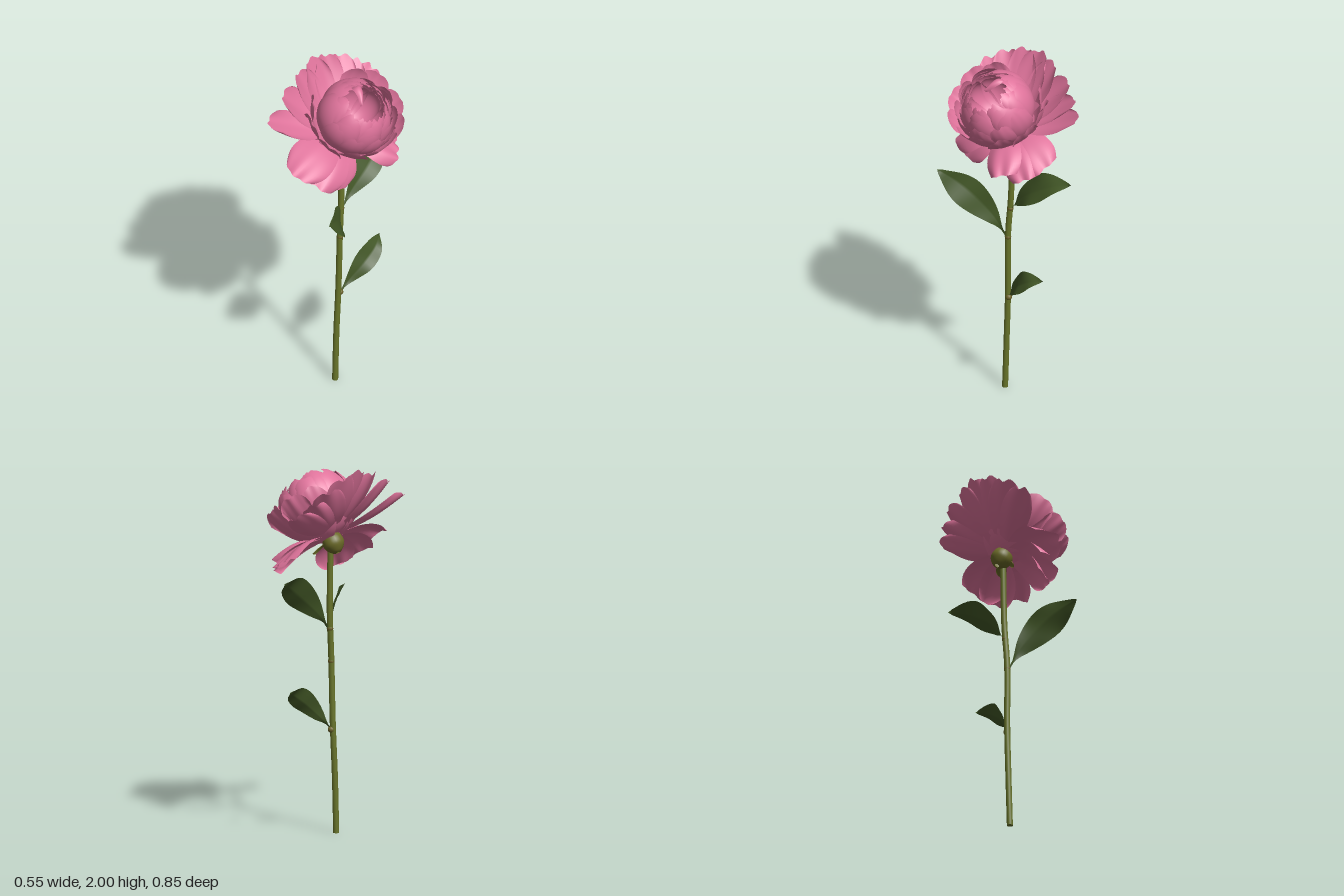
import * as THREE from 'three';
import { ParametricGeometry } from 'three/addons/geometries/ParametricGeometry.js';

const V = (x, y, z) => new THREE.Vector3(x, y, z);
const rad = THREE.MathUtils.degToRad;

function material(name, color, side = THREE.FrontSide) {
  const m = new THREE.MeshStandardMaterial({ color, side });
  m.name = name;
  return m;
}

function seeded(seed) {
  return () => {
    seed = (seed * 16807) % 2147483647;
    return seed / 2147483647;
  };
}

export function createModel() {
  const rand = seeded(4711);
  const jitter = (a) => (rand() * 2 - 1) * a;
  const pink = material('petal pink', 0xe0749c, THREE.DoubleSide);
  const green = material('leaf green', 0x425726, THREE.DoubleSide);
  const olive = material('stem olive', 0x68742a);
  const brown = material('node brown', 0x6b6128);
  const sepalOlive = material('sepal olive', 0x6b6a28, THREE.DoubleSide);

  const model = new THREE.Group();
  model.name = 'flower';
  const add = (parent, name, geometry, mat) => {
    const mesh = new THREE.Mesh(geometry, mat);
    mesh.name = name;
    parent.add(mesh);
    return mesh;
  };
  // Smooth sheet: u runs across from -1 to 1, v runs from root to tip
  const sheet = (fn, nu = 16, nv = 16) =>
    new ParametricGeometry((a, v, p) => fn(a * 2 - 1, v, p), nu, nv);

  // Stem, closed at the foot
  const stemPath = new THREE.CatmullRomCurve3([
    V(-0.055, 0.005, 0.045), V(-0.056, 0.3, 0.034), V(-0.053, 0.6, 0.02),
    V(-0.048, 0.95, 0.014), V(-0.053, 1.2, -0.004), V(-0.06, 1.55, -0.006)]);
  add(model, 'stem', new THREE.TubeGeometry(stemPath, 40, 0.0165, 12), olive);
  add(model, 'stemFoot', new THREE.CylinderGeometry(0.0165, 0.0165, 0.01, 12), olive)
    .position.set(-0.055, 0.005, 0.045);

  // Leaves: midrib curve plus a half-width vector, folded and waved a little
  function leaf(name, points, half) {
    const curve = new THREE.CatmullRomCurve3(points.map((p) => V(...p)));
    const side = V(...half);
    const across = points[4].map((c, i) => c - points[0][i]);
    const up = V(...across).cross(side).normalize().negate();
    const geometry = sheet((u, v, p) => {
      const t = Math.max(0, (v - 0.08) / 0.92);
      const w = 0.07 + 0.93 * Math.pow(Math.sin(Math.PI * Math.pow(t, 1.12)), 1.15);
      curve.getPoint(v, p);
      p.addScaledVector(side, u * w * (v > 0.99 ? 0 : 1));
      p.addScaledVector(up, 0.012 * Math.abs(u) * w + 0.004 * u * Math.sin(v * 17));
    }, 10, 24);
    add(model, name, geometry, green);
    const node = add(model, name + 'Node', new THREE.SphereGeometry(0.018, 12, 8), brown);
    node.position.set(...points[0]).lerp(V(-0.052, points[0][1] - 0.01, 0.01), 0.6);
  }
  leaf('upperLeaf', [[-0.05, 1.12, -0.015], [-0.04, 1.205, -0.08], [-0.03, 1.3, -0.19],
    [-0.05, 1.375, -0.31], [-0.1, 1.41, -0.42]], [0.046, -0.062, -0.03]);
  leaf('middleLeaf', [[-0.04, 0.94, 0.02], [0.005, 1.05, 0.07], [0.065, 1.155, 0.15],
    [0.115, 1.235, 0.25], [0.155, 1.285, 0.35]], [-0.052, 0.06, -0.035]);
  leaf('lowerLeaf', [[-0.045, 0.57, 0.012], [-0.025, 0.635, -0.045], [0.005, 0.715, -0.125],
    [0.01, 0.77, -0.21], [-0.02, 0.795, -0.285]], [0.036, -0.045, -0.023]);

  // Flower head, leaning towards +x
  const head = new THREE.Group();
  head.name = 'flowerHead';
  head.position.set(-0.055, 1.615, 0);
  head.rotation.z = -rad(32);
  model.add(head);

  // Calyx bulb under the petals
  const bulb = [[0.012, -0.1], [0.03, -0.09], [0.052, -0.064], [0.058, -0.038],
    [0.052, -0.008], [0.03, 0.02]].map((p) => new THREE.Vector2(...p));
  add(head, 'calyx', new THREE.LatheGeometry(new THREE.SplineCurve(bulb).getPoints(18), 24), sepalOlive);

  // Flat-lying petal shape, rooted on the axis and turned to its azimuth and angle
  function spreading(name, [phi, theta, length, width], mat, bend, cup, lobes) {
    const phase = rand() * 6;
    const geometry = sheet((u, v, p) => {
      const grow = 0.22 + 0.78 * Math.sin((Math.PI / 2) * Math.min(1, v / 0.75));
      const taper = v > 0.75 ? 1 - 0.22 * ((v - 0.75) / 0.25) ** 2 : 1;
      const edge = 1 - 0.05 * u * u - 0.09 * u ** 4
        + lobes * v * (Math.sin(u * 4 + phase) + 0.5 * Math.sin(u * 9 + phase));
      p.set(0.02 + (length - 0.02) * v * edge,
        cup * u * u * grow + bend * Math.sin(Math.PI * v)
          + lobes * 0.2 * v * v * Math.sin(u * 6 + phase),
        width * u * grow * taper);
    }, 20, 16);
    const mesh = add(head, name, geometry, mat);
    mesh.rotation.set(0, -rad(phi), rad(90 - theta), 'YXZ');
    return mesh;
  }

  // Guard petals on the upper side: azimuth, angle from axis, length, half width
  [[181, 62, 0.435, 0.1], [164, 64, 0.425, 0.095], [198, 64, 0.425, 0.095],
    [143, 71, 0.43, 0.1], [217, 71, 0.425, 0.1], [125, 82, 0.465, 0.085],
    [246, 80, 0.445, 0.085], [232, 76, 0.425, 0.08],
  ].forEach((petal) => spreading('guardPetal', petal, pink, -0.022, 0.022, 0.022));
  // Guard petals on the lower side, arching out and then drooping
  [[84, 93, 0.415, 0.125], [43, 108, 0.31, 0.11], [64, 102, 0.36, 0.13],
    [290, 100, 0.35, 0.125], [308, 98, 0.36, 0.1], [327, 87, 0.34, 0.1],
  ].forEach((petal) => spreading('lowerGuardPetal', petal, pink, 0.035, -0.03, 0.026));

  // Small sepals under the lower side
  [[315, 104, 0.13, 0.03], [40, 114, 0.09, 0.025]].forEach((sepal) => {
    spreading('sepal', sepal, sepalOlive, 0.006, -0.008, 0).position.y = -0.02;
  });

  // Petal wrapped round the ball, from the pole at the base up to polar angle top
  function wrapped(name, { phi, radius, half, top, flare = 0, lobes = 0.03 }) {
    const phase = rand() * 6;
    const geometry = sheet((u, v, p) => {
      const end = rad(top) + 0.1 * u * u + 0.2 * u ** 4
        + lobes * (Math.sin(u * 5 + phase) + 0.5 * Math.sin(u * 11 + phase));
      const a = rad(175) + (end - rad(175)) * v;
      const R = radius + flare * v ** 2 + 0.008 * (1 - u * u) * v - 0.006 * u * u;
      const az = rad(phi) + u * rad(half) * (0.75 + 0.25 * Math.sin(Math.PI * Math.min(1, v * 1.1)));
      const r = R * Math.sin(a);
      p.set(r * Math.cos(az), 0.19 + radius * Math.cos(a), r * Math.sin(az));
    }, 18, 18);
    add(head, name, geometry, pink);
  }
  // Layer of petals; the upper side closes further over the ball
  const ring = (name, count, offset, options) => {
    for (let i = 0; i < count; i++) {
      const phi = offset + (i * 360) / count + jitter(7);
      wrapped(name, { ...options, phi, radius: options.radius + jitter(0.004),
        top: options.top + 5 * Math.cos(rad(phi)) + jitter(4) });
    }
  };

  // Open cup of petals: wide at the sides, tighter in the middle of the lower side
  [[-132, 0.05, 78], [-108, 0.085, 80], [-76, 0.08, 82], [-46, 0.055, 80], [-15, 0.03, 76],
    [16, 0.028, 82], [46, 0.055, 80], [78, 0.08, 84], [108, 0.085, 80], [134, 0.05, 78],
  ].forEach(([phi, flare, top]) =>
    wrapped('cupPetal', { phi, radius: 0.212, half: 24, top, flare, lobes: 0.03 }));
  for (let i = 0; i < 6; i++) {
    wrapped('innerCupPetal', { phi: -85 + i * 34, radius: 0.207, half: 23,
      top: 66 + jitter(5), flare: 0.018, lobes: 0.035 });
  }

  // Closed ball, from the outer layer to the ragged inner ones
  ring('ballPetal', 7, 180, { radius: 0.2, half: 34, top: 55, lobes: 0.025 });
  ring('ballPetal', 8, 160, { radius: 0.193, half: 30, top: 43, lobes: 0.03 });
  ring('heartPetal', 10, 10, { radius: 0.184, half: 24, top: 37, lobes: 0.035 });
  ring('heartPetal', 10, 25, { radius: 0.172, half: 24, top: 37, lobes: 0.04 });
  ring('heartPetal', 8, 0, { radius: 0.152, half: 30, top: 48, lobes: 0.035 });

  // Single slim tongue curling over the opening
  const tongue = new THREE.CatmullRomCurve3([V(-0.12, 0.29, -0.03), V(-0.09, 0.34, -0.02),
    V(-0.05, 0.345, -0.005), V(0, 0.325, 0.025)]);
  add(head, 'tonguePetal', sheet((u, v, p) => {
    tongue.getPoint(v, p);
    p.z += u * 0.03 * Math.sqrt(Math.max(0, 1 - v * v * 0.97));
    p.y -= 0.015 * u * u;
  }), pink);

  return model;
}
